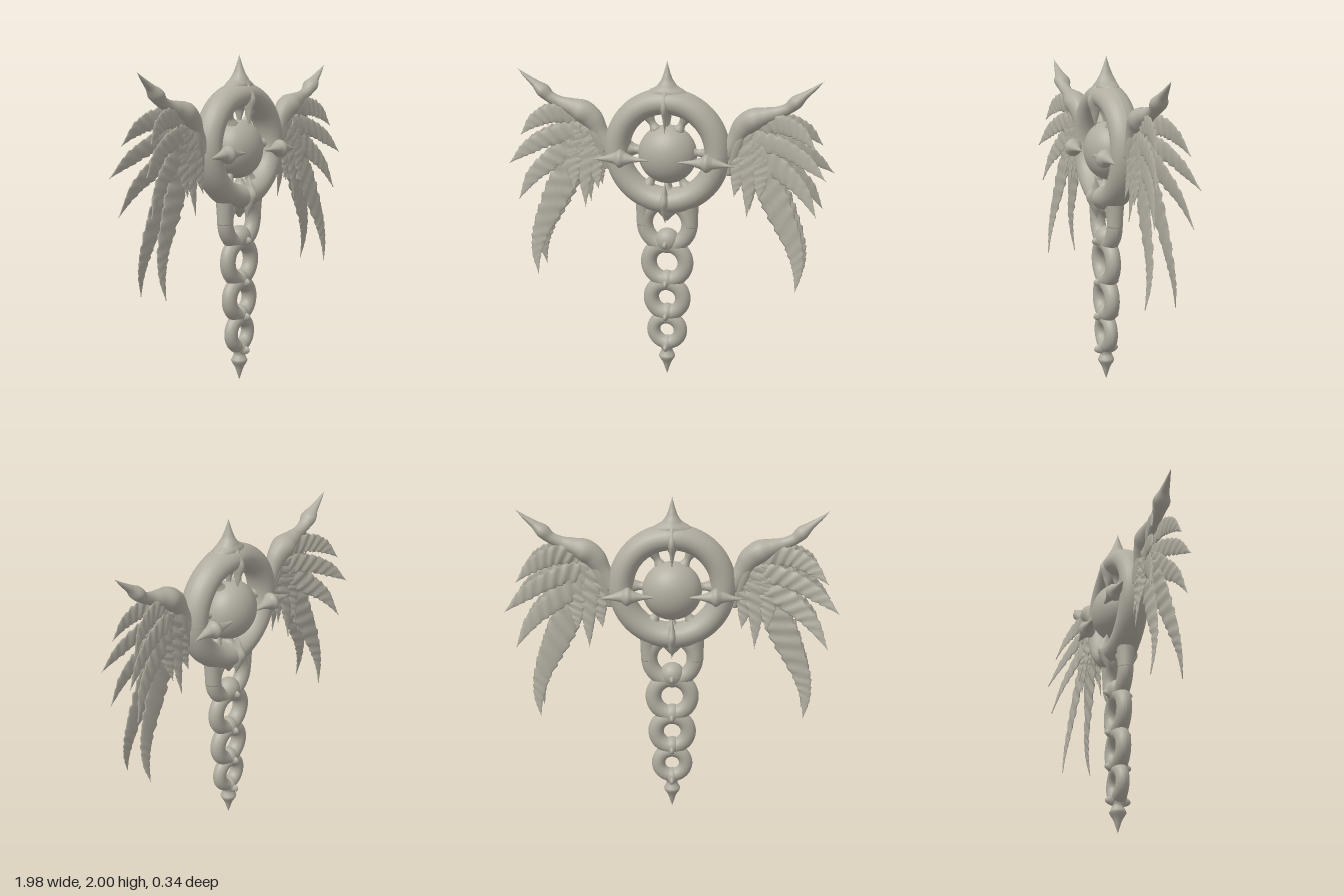
import * as THREE from 'three';

const stone = new THREE.MeshStandardMaterial({ color: 0xb0aca0 });
stone.name = 'warm grey stone';

function add(group, name, geometry) {
  const mesh = new THREE.Mesh(geometry, stone);
  mesh.name = name;
  group.add(mesh);
  return mesh;
}

// Sweeps an ellipse along a path. Each station is [x, y, z, half width in xy, half depth in z].
function sweep(stations, { steps = 10, sides = 14, edge = () => 1, ripple = () => 0 } = {}) {
  const path = new THREE.CatmullRomCurve3(stations.map(s => new THREE.Vector3(s[0], s[1], s[2])));
  const size = new THREE.CatmullRomCurve3(
    stations.map((s, i) => new THREE.Vector3(s[3], s[4], i * 0.1)), false, 'catmullrom', 0.4);
  const n = steps * (stations.length - 1);
  const pos = [], index = [];
  for (let i = 0; i <= n; i++) {
    const t = i / n, p = path.getPoint(t), r = size.getPoint(t), d = path.getTangent(t);
    const len = Math.hypot(d.x, d.y) || 1;
    const w = Math.max(r.x, 0.0008) * edge(t), h = Math.max(r.y, 0.0008);
    for (let j = 0; j < sides; j++) {
      const a = j / sides * Math.PI * 2, c = Math.cos(a) * w;
      pos.push(p.x - d.y / len * c, p.y + d.x / len * c, p.z + Math.sin(a) * h + ripple(t, Math.cos(a)));
    }
  }
  for (let i = 0; i < n; i++) {
    for (let j = 0; j < sides; j++) {
      const k = (j + 1) % sides, a = i * sides + j, b = i * sides + k;
      index.push(a, b, a + sides, b, b + sides, a + sides);
    }
  }
  // end caps
  for (let j = 1; j < sides - 1; j++) {
    const e = n * sides;
    index.push(0, j + 1, j, e, e + j, e + j + 1);
  }
  const g = new THREE.BufferGeometry();
  g.setAttribute('position', new THREE.Float32BufferAttribute(pos, 3));
  g.setIndex(index);
  g.computeVertexNormals();
  return g;
}

// Torus that swells in depth near the vertical centre line
function swollenRing(radius, tube, depth, swell, spread) {
  const g = new THREE.TorusGeometry(radius, tube, 24, 96), p = g.attributes.position;
  for (let i = 0; i < p.count; i++) {
    p.setZ(i, p.getZ(i) * depth * (1 + swell * Math.exp(-((p.getX(i) / spread) ** 2))));
  }
  g.computeVertexNormals();
  return g;
}

function buildMedallion() {
  const g = new THREE.Group();
  g.name = 'medallion';
  const cy = 1.455;
  add(g, 'ring', swollenRing(0.306, 0.077, 1.19, 0.13, 0.1)).position.y = cy;
  const orb = add(g, 'orb', new THREE.SphereGeometry(0.178, 40, 28));
  orb.position.set(0, 1.435, -0.015);
  orb.scale.z = 0.82;

  // struts holding the orb inside the ring
  for (const deg of [0, 62, 118, 180, 242, 298]) {
    const a = deg * Math.PI / 180, c = Math.cos(a), s = Math.sin(a);
    add(g, 'strut', sweep([[0.15, 0.035], [0.195, 0.022], [0.26, 0.045]].map(
      ([r, w]) => [c * r, cy + s * r, 0, w, w])));
  }
  for (const f of [1, -1]) {
    // side spikes lying across the ring
    for (const m of [1, -1]) {
      add(g, 'sideSpike', sweep([
        [0.09, 1.425, 0.125, 0.003, 0.003], [0.17, 1.425, 0.12, 0.016, 0.02],
        [0.23, 1.425, 0.115, 0.036, 0.042], [0.262, 1.425, 0.113, 0.056, 0.056],
        [0.3, 1.425, 0.112, 0.034, 0.036], [0.36, 1.42, 0.115, 0.016, 0.018],
        [0.43, 1.415, 0.12, 0, 0],
      ].map(([x, y, z, w, d]) => [x * m, y, z * f, w, d])));
    }
    // narrow upper and lower ridges on the ring
    add(g, 'upperRidge', sweep([
      [0, 1.58, 0.07, 0, 0], [0, 1.66, 0.07, 0.012, 0.025], [0, 1.74, 0.07, 0.024, 0.05],
      [0, 1.81, 0.05, 0.02, 0.035], [0, 1.88, 0.02, 0.005, 0.01],
    ].map(([x, y, z, w, d]) => [x, y, z * f, w, d])));
    add(g, 'lowerRidge', sweep([
      [0, 1.28, 0.07, 0, 0], [0, 1.22, 0.075, 0.014, 0.03], [0, 1.16, 0.075, 0.028, 0.055],
      [0, 1.1, 0.07, 0.022, 0.035], [0, 1.02, 0.06, 0, 0],
    ].map(([x, y, z, w, d]) => [x, y, z * f, w, d])));
  }
  // inner prongs above and below the orb
  add(g, 'upperProng', sweep([[0, 1.71, 0, 0.05, 0.06], [0, 1.66, 0, 0.018, 0.03], [0, 1.59, 0, 0.006, 0.01]]));
  add(g, 'lowerProng', sweep([[0, 1.2, 0, 0.05, 0.06], [0, 1.24, 0, 0.02, 0.03], [0, 1.29, 0, 0.006, 0.01]]));
  // crown spike with a flared foot
  add(g, 'crownSpike', sweep([
    [0, 1.76, 0, 0.15, 0.07], [0, 1.82, 0, 0.115, 0.072], [0, 1.855, 0, 0.06, 0.058],
    [0, 1.9, 0, 0.03, 0.035], [0, 1.95, 0, 0.014, 0.016], [0, 2, 0, 0, 0],
  ]));
  add(g, 'ringFoot', sweep([[0, 1.14, 0, 0.1, 0.07], [0, 1.08, 0, 0.06, 0.05], [0, 1.02, 0, 0.006, 0.01]]));
  return g;
}

function buildStaff() {
  const g = new THREE.Group();
  g.name = 'staff';
  // chain of flat merged loops: [centre height, radius, tube]
  const loops = [[1.0, 0.139, 0.05], [0.75, 0.115, 0.049], [0.515, 0.1, 0.048], [0.3, 0.085, 0.042]];
  for (const [y, radius, tube] of loops) {
    add(g, 'loop', swollenRing(radius, tube, 0.95, 0.15, 0.06)).position.y = y;
  }
  // arms joining the top loop to the ring
  for (const m of [1, -1]) {
    add(g, 'loopArm', sweep([[0.14 * m, 0.99, 0, 0.05, 0.048], [0.143 * m, 1.06, 0, 0.049, 0.05], [0.14 * m, 1.15, 0, 0.055, 0.06]]));
  }
  // pointed knots where loops meet: [height, half width, half height, half depth]
  for (const [y, w, h, d] of [[0.895, 0.075, 0.075, 0.07], [0.635, 0.055, 0.06, 0.06], [0.42, 0.05, 0.055, 0.06], [0.21, 0.042, 0.05, 0.055]]) {
    const knot = add(g, 'knot', new THREE.SphereGeometry(1, 20, 14));
    knot.position.y = y;
    knot.scale.set(w, h, d);
    const stud = add(g, 'stud', new THREE.SphereGeometry(1, 16, 12));
    stud.position.y = y - 0.015;
    stud.scale.set(0.022, 0.035, d + 0.025);
  }
  // pointed tip
  const tip = [[0, 0], [0.012, 0.035], [0.027, 0.08], [0.05, 0.12], [0.044, 0.14], [0.034, 0.165], [0.04, 0.2], [0, 0.23]];
  add(g, 'tip', new THREE.LatheGeometry(
    new THREE.SplineCurve(tip.map(p => new THREE.Vector2(p[0], p[1]))).getPoints(24)
      .map(p => new THREE.Vector2(Math.max(p.x, 0), Math.max(p.y, 0))), 20));
  return g;
}

// Feathers: back tip depth, front tip depth, front shortening, then stations of [x, y, half width]
const feathers = [
  [-0.12, 0.06, 0.03, [[0.55, 1.65, 0.06], [0.7, 1.655, 0.06], [0.82, 1.605, 0.045], [0.92, 1.51, 0]]],
  [-0.15, 0.09, 0.03, [[0.52, 1.56, 0.07], [0.7, 1.52, 0.058], [0.86, 1.44, 0.046], [0.99, 1.335, 0]]],
  [-0.14, 0.08, 0.02, [[0.52, 1.52, 0.08], [0.69, 1.39, 0.068], [0.83, 1.27, 0.046], [0.93, 1.11, 0]]],
  [-0.09, 0.085, 0, [[0.52, 1.6, 0.07], [0.59, 1.36, 0.09], [0.69, 1.14, 0.086], [0.788, 0.91, 0.055], [0.812, 0.77, 0.03], [0.8, 0.645, 0]]],
  [-0.06, 0.05, 0, [[0.53, 1.6, 0.06], [0.57, 1.42, 0.06], [0.57, 1.3, 0.04], [0.565, 1.2, 0]]],
  [-0.06, 0.05, 0, [[0.48, 1.6, 0.05], [0.49, 1.42, 0.06], [0.5, 1.25, 0.036], [0.495, 1.09, 0]]],
  [-0.04, 0.04, 0, [[0.45, 1.56, 0.04], [0.435, 1.42, 0.05], [0.43, 1.3, 0.035], [0.415, 1.21, 0]]],
];

function buildWing(m) {
  const g = new THREE.Group();
  g.name = m > 0 ? 'leftWing' : 'rightWing';
  // leading arm ending in a claw
  add(g, 'wingArm', sweep([
    [0.355, 1.45, 0, 0.05, 0.045], [0.41, 1.55, 0, 0.05, 0.045], [0.46, 1.632, 0, 0.066, 0.06],
    [0.52, 1.677, 0, 0.068, 0.075], [0.59, 1.703, 0, 0.05, 0.055], [0.66, 1.725, 0, 0.037, 0.037],
    [0.72, 1.753, 0, 0.034, 0.04], [0.765, 1.793, 0, 0.04, 0.053], [0.815, 1.835, 0, 0.023, 0.03],
    [0.87, 1.877, 0, 0.012, 0.015], [0.92, 1.92, 0, 0, 0],
  ].map(([x, y, z, w, d]) => [x * m, y, z, w, d])));
  add(g, 'wingRoot', sweep([[0.37, 1.33, 0, 0.02, 0.02], [0.39, 1.42, 0, 0.04, 0.035], [0.425, 1.53, 0, 0.045, 0.045],
    [0.47, 1.63, 0, 0.03, 0.04]].map(([x, y, z, w, d]) => [x * m, y, z, w, d])));
  // two fanned layers of ragged feathers
  feathers.forEach(([back, front, shrink, line], f) => {
    [back, front].forEach((depth, layer) => {
      const last = line.length - 1;
      const stations = line.map(([x, y, w], i) => {
        const u = i / last, pull = 1 - layer * shrink * u;
        return [x * pull * m, y + layer * shrink * 0.6 * u, Math.sign(depth) * 0.015 + depth * 0.9 * u, w, 0.009 * (1 - u) + 0.003];
      });
      add(g, 'feather', sweep(stations, {
        steps: 16, sides: 12,
        edge: t => 1.06 - 0.2 * ((t * last * 3.5 + f * 0.3) % 1),
        ripple: (t, c) => 0.006 * Math.sin(t * last * 16 + c * 3 + f) * (1 - t),
      }));
    });
  });
  return g;
}

export function createModel() {
  const model = new THREE.Group();
  model.name = 'wingedStaff';
  model.add(buildMedallion(), buildStaff(), buildWing(1), buildWing(-1));
  return model;
}
